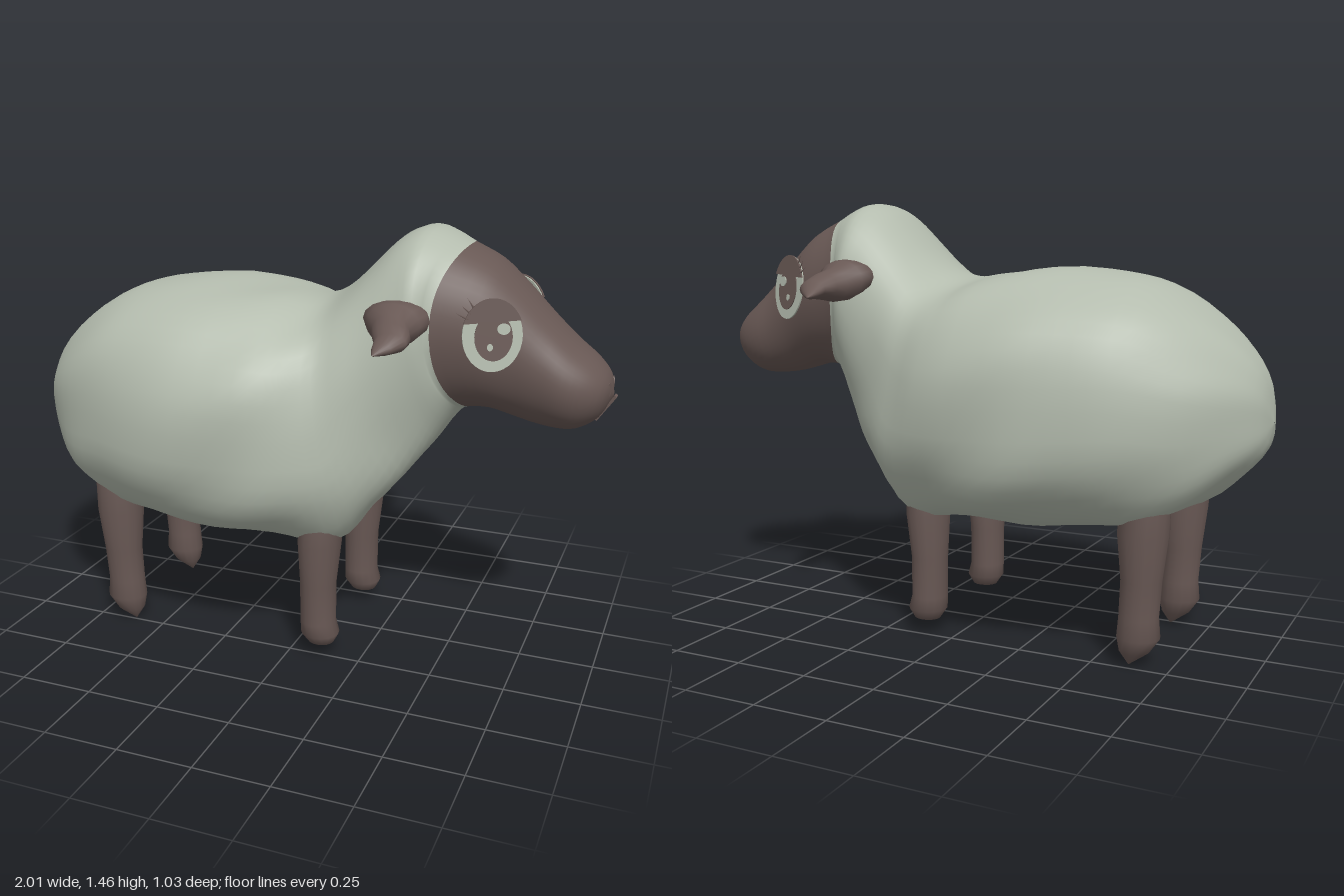
import * as THREE from 'three';

const mat = (name, color) => {
  const m = new THREE.MeshStandardMaterial({ color });
  m.name = name;
  return m;
};

// Smooth skin over a list of rings; rings from index `split` on use the second material
function skin(rings, split = rings.length) {
  const n = rings[0].length, pos = [], idx = [];
  rings.forEach(r => r.forEach(p => pos.push(p.x, p.y, p.z)));
  for (let i = 0; i < rings.length - 1; i++) {
    for (let j = 0; j < n; j++) {
      const k = (j + 1) % n;
      const a = i * n + j, b = i * n + k, c = b + n, d = a + n;
      idx.push(a, b, d, b, c, d);
    }
  }
  const g = new THREE.BufferGeometry();
  g.setAttribute('position', new THREE.Float32BufferAttribute(pos, 3));
  g.setIndex(idx);
  const cut = Math.min(split, rings.length - 1) * n * 6;
  g.addGroup(0, cut, 0);
  if (cut < idx.length) g.addGroup(cut, idx.length - cut, 1);
  g.computeVertexNormals();
  return g;
}

// Ring of points made from a function of the angle
const ring = (n, f) => Array.from({ length: n }, (_, j) => f(j / n * Math.PI * 2));

// Body rings: top x, top y, bottom x, bottom y, half width, backward bow of the sides
const BODY = [
  [-1.0, 0.772, -1.0, 0.768, 0.002], [-0.975, 0.90, -0.98, 0.68, 0.11],
  [-0.91, 1.00, -0.91, 0.60, 0.225], [-0.80, 1.10, -0.80, 0.51, 0.335],
  [-0.65, 1.19, -0.66, 0.475, 0.42], [-0.50, 1.23, -0.50, 0.43, 0.475],
  [-0.30, 1.24, -0.30, 0.40, 0.505], [-0.10, 1.225, -0.10, 0.40, 0.49],
  [0.01, 1.20, 0.06, 0.42, 0.445], [0.09, 1.22, 0.19, 0.45, 0.385],
  [0.17, 1.28, 0.25, 0.54, 0.35], [0.24, 1.35, 0.33, 0.63, 0.32],
  [0.32, 1.425, 0.42, 0.735, 0.30], [0.40, 1.455, 0.485, 0.825, 0.29, 0.03],
  [0.47, 1.435, 0.525, 0.87, 0.27, 0.06], [0.53, 1.405, 0.555, 0.882, 0.25, 0.08],
  [0.62, 1.36, 0.62, 0.885, 0.22, 0.03], [0.70, 1.29, 0.69, 0.865, 0.185],
  [0.79, 1.20, 0.76, 0.848, 0.17], [0.87, 1.125, 0.83, 0.84, 0.165],
  [0.94, 1.07, 0.89, 0.845, 0.14], [0.982, 1.02, 0.955, 0.885, 0.09],
  [0.995, 0.962, 0.995, 0.958, 0.002]
];

function bodyGeometry() {
  const steps = 3, total = (BODY.length - 1) * steps;
  const path = f => new THREE.CatmullRomCurve3(BODY.map(f), false, 'catmullrom');
  const top = path(r => new THREE.Vector3(r[0], r[1], 0));
  const bottom = path(r => new THREE.Vector3(r[2], r[3], 0));
  const side = path(r => new THREE.Vector3(r[4], r[5] || 0, 0));
  const pw = (v, e) => Math.sign(v) * Math.abs(v) ** e;
  const bump = (u, v, size) => Math.exp(-(u * u + v * v) / size);
  const rings = [];
  for (let i = 0; i <= total; i++) {
    const t = i / total, a = top.getPoint(t), b = bottom.getPoint(t), s = side.getPoint(t);
    const mid = a.clone().add(b).multiplyScalar(0.5);
    const half = a.clone().sub(b).multiplyScalar(0.5);
    const fade = THREE.MathUtils.clamp((0.4 - mid.x) * 4, 0, 1);
    rings.push(ring(48, q => {
      // the underside is squarer than the back
      const e = Math.cos(q) < 0 ? 0.87 - 0.12 * fade : 0.87;
      const c = pw(Math.cos(q), e), z = pw(Math.sin(q), e);
      // soft uneven lumps in the wool
      const lump = 1 + fade * 0.01 * (Math.sin(7 * q + 9 * mid.x) + Math.sin(17 * mid.x + 4 * q + 1) * Math.cos(3 * q));
      // throat and jaw narrow downwards
      const taper = 1 + 0.12 * (1 - fade) * Math.min(c, 0);
      const p = new THREE.Vector3(
        mid.x + half.x * c - s.y * z * z,
        mid.y + half.y * c * lump,
        Math.max(s.x, 0.002) * z * lump * taper);
      const w = Math.abs(p.z);
      if (c < 0) {
        // wool hanging over the tops of the legs
        p.y -= 0.05 * bump(p.x - 0.13, w - 0.25, 0.014) + 0.04 * bump(p.x + 0.66, w - 0.26, 0.014);
      }
      // rounded shoulders on the chest
      if (p.x > 0) p.x += 0.055 * bump(p.y - 0.66, w - 0.24, 0.02) * Math.min(1, p.x * 5);
      return p;
    }));
  }
  return skin(rings, 15 * steps);
}

// Leg rings from the hoof up: y, centre x, radius x, radius z
const FRONT_LEG = [[0.04, 0.11, 0.002, 0.002], [0.05, 0.11, 0.045, 0.04], [0.085, 0.107, 0.066, 0.065],
  [0.13, 0.10, 0.06, 0.066], [0.27, 0.10, 0.061, 0.068], [0.42, 0.105, 0.073, 0.083], [0.51, 0.11, 0.07, 0.07]];
const BACK_LEG = [[0.0, -0.615, 0.002, 0.002], [0.045, -0.632, 0.048, 0.045], [0.095, -0.645, 0.07, 0.064],
  [0.16, -0.645, 0.064, 0.062], [0.28, -0.652, 0.066, 0.066], [0.43, -0.655, 0.082, 0.08], [0.54, -0.66, 0.08, 0.07]];
const legGeometry = rows => skin(rows.map(([y, x, rx, rz]) =>
  ring(16, q => new THREE.Vector3(x + rx * Math.sin(q), y, rz * Math.cos(q)))));

// Ear rings from root to tip: z, centre x, centre y, radius x, radius y
const EAR = [[0.23, 0.37, 1.21, 0.085, 0.045], [0.29, 0.37, 1.205, 0.105, 0.06], [0.32, 0.37, 1.195, 0.085, 0.066],
  [0.36, 0.375, 1.182, 0.06, 0.055], [0.40, 0.39, 1.178, 0.06, 0.043], [0.44, 0.40, 1.17, 0.05, 0.03],
  [0.475, 0.385, 1.158, 0.03, 0.018], [0.513, 0.37, 1.147, 0.002, 0.002]];
const earGeometry = () => skin(EAR.map(([z, x, y, rx, ry]) =>
  ring(16, q => new THREE.Vector3(x + rx * Math.cos(q), y + ry * Math.sin(q), z))));

export function createModel() {
  const wool = mat('wool', 0xb4bcae);
  const hide = mat('hide', 0x685854);
  const model = new THREE.Group();
  model.name = 'sheep';

  const add = (parent, name, geometry, material, x = 0, y = 0, z = 0) => {
    const m = new THREE.Mesh(geometry, material);
    m.name = name;
    m.position.set(x, y, z);
    parent.add(m);
    return m;
  };

  add(model, 'woollyBodyAndHead', bodyGeometry(), [wool, hide]);

  // Thin oval plate facing +z
  const oval = (parent, name, rx, ry, material, x, y, z) => {
    const g = new THREE.CylinderGeometry(1, 1, 0.005, 32).rotateX(Math.PI / 2).scale(rx, ry, 1);
    return add(parent, name, g, material, x, y, z);
  };

  for (const s of [1, -1]) {
    const label = s > 0 ? 'left' : 'right';
    const half = new THREE.Group();
    half.name = label + 'Half';
    half.scale.z = s;
    model.add(half);

    const legZ = 0.225 + s * 0.013;
    add(half, label + 'FrontLeg', legGeometry(FRONT_LEG), hide, 0, 0, legZ);
    add(half, label + 'BackLeg', legGeometry(BACK_LEG), hide, 0, 0, legZ);
    add(half, label + 'Ear', earGeometry(), hide);

    // Eye: white, iris, highlights, upper lid and lashes
    const eye = new THREE.Group();
    eye.name = label + 'Eye';
    eye.position.set(0.65, 1.165, 0.218);
    eye.rotation.set(-0.12, 0.43, 0, 'YXZ');
    half.add(eye);
    oval(eye, 'eyeWhite', 0.092, 0.11, wool, 0, 0, 0);
    oval(eye, 'iris', 0.058, 0.072, hide, 0.003, -0.005, 0.003);
    oval(eye, 'largeHighlight', 0.02, 0.017, wool, 0.033, 0.02, 0.006);
    oval(eye, 'smallHighlight', 0.009, 0.011, wool, -0.008, -0.035, 0.006);
    const lid = new THREE.Shape().absarc(0, 0, 1, 0.42, Math.PI - 0.32, false);
    const lidGeometry = new THREE.ExtrudeGeometry(lid, { depth: 0.006, bevelEnabled: false, curveSegments: 20 });
    add(eye, 'upperLid', lidGeometry.scale(0.094, 0.112, 1), hide, 0, 0, 0.003);
    for (let i = 0; i < 3; i++) {
      const l = add(eye, 'eyelash', new THREE.ConeGeometry(0.004, 0.045, 5), hide,
        -0.095 + i * 0.014, 0.06 + i * 0.018, 0.008);
      l.rotation.set(0.2, 0, 1.1 - i * 0.25);
    }

    // Nostril on the muzzle
    const nostril = oval(half, label + 'Nostril', 0.013, 0.022, hide, 0.983, 0.985, 0.045);
    nostril.rotation.y = Math.PI / 2 - 0.4;
  }

  // Mouth crease down the tip of the muzzle
  const mouth = add(model, 'mouthCrease', new THREE.BoxGeometry(0.009, 0.1, 0.03), hide, 0.974, 0.915, 0);
  mouth.rotation.z = -0.6;
  return model;
}
